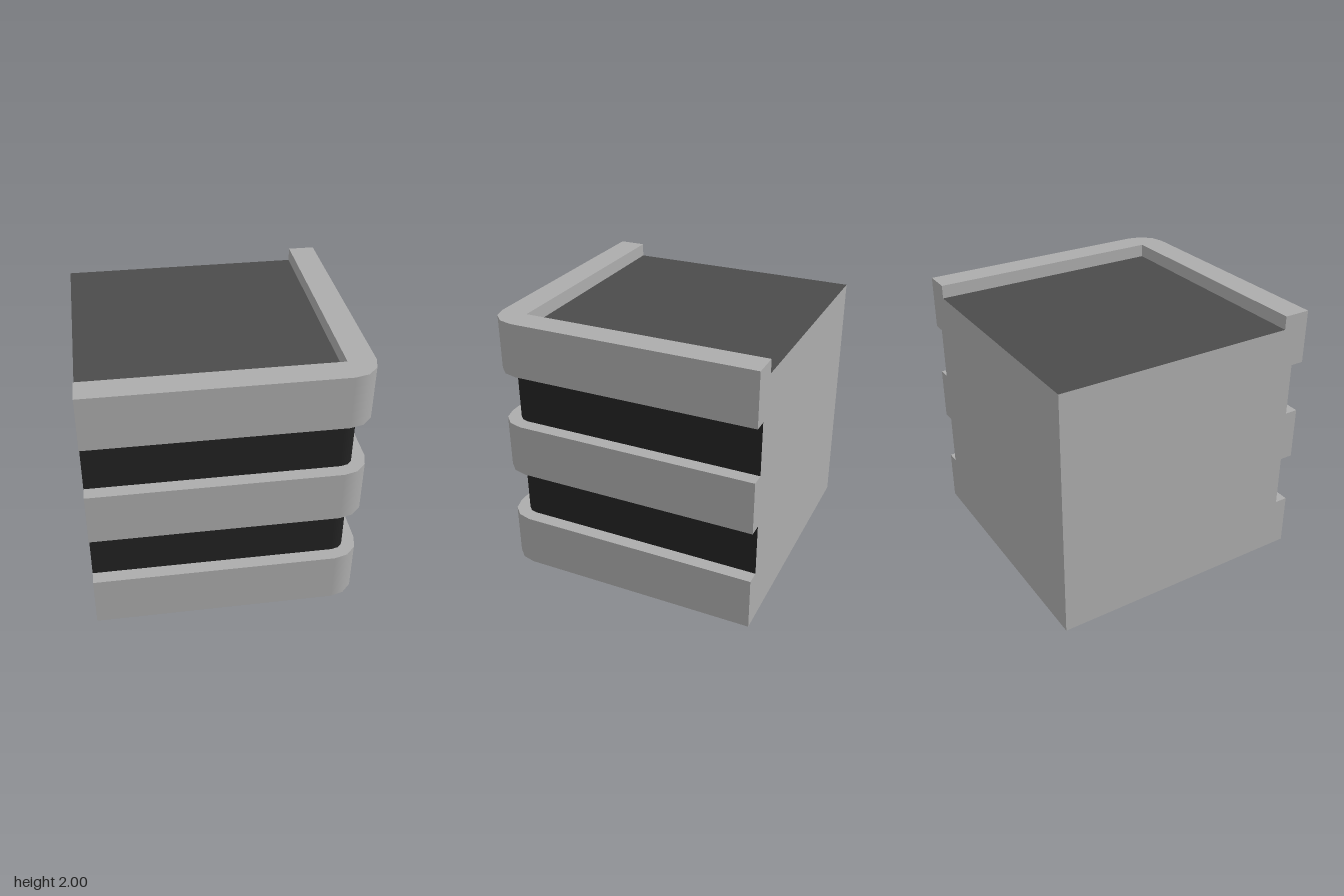
import * as THREE from 'three';

const C = 0.8; // centre of the rounded corner, in x and z

// Floor outline with one rounded corner at +x +z (shape y is -z)
function outline(r) {
  const s = new THREE.Shape();
  s.moveTo(-1, 1);
  s.lineTo(-1, -C - r);
  for (let i = 0; i <= 3; i++) {
    const a = -Math.PI / 2 + (i * Math.PI) / 6;
    s.lineTo(C + r * Math.cos(a), -C + r * Math.sin(a));
  }
  s.lineTo(C + r, 1);
  s.closePath();
  return s;
}

// Ring of the parapet: rounded outside, square inside
function parapetShape(r) {
  const s = outline(r);
  const pts = s.getPoints().filter((p) => !(p.x === -1 && p.y === 1));
  return new THREE.Shape([...pts, new THREE.Vector2(C, 1), new THREE.Vector2(C, -C), new THREE.Vector2(-1, -C)]);
}

// Upright prism with smooth normals around the rounded corner
function prism(shape, y0, y1) {
  const g = new THREE.ExtrudeGeometry(shape, { depth: y1 - y0, bevelEnabled: false });
  g.rotateX(-Math.PI / 2).translate(0, y0, 0);
  const p = g.attributes.position, n = g.attributes.normal;
  for (let i = 0; i < p.count; i++) {
    if (Math.abs(n.getY(i)) > 0.5 || n.getX(i) < -0.1 || n.getZ(i) < -0.1) continue;
    const v = new THREE.Vector3(Math.max(p.getX(i) - C, 0), 0, Math.max(p.getZ(i) - C, 0)).normalize();
    n.setXYZ(i, v.x, 0, v.z);
  }
  return g;
}

// Give each triangle material 0 or 1 according to its normal
function split(g, rule) {
  const n = g.attributes.normal;
  g.clearGroups();
  for (let i = 0; i < n.count; i += 3) {
    g.addGroup(i, 3, rule(n.getX(i), n.getY(i), n.getZ(i)) ? 1 : 0);
  }
  return g;
}

export function createModel() {
  const group = new THREE.Group();
  const material = (name, color) => {
    const m = new THREE.MeshStandardMaterial({ color });
    m.name = name;
    return m;
  };
  const concrete = material('concrete', 0xacacac);
  const glass = material('darkGlass', 0x222222);
  const roofing = material('roofing', 0x4b4b4b);

  const add = (name, geometry, mat) => {
    const mesh = new THREE.Mesh(geometry, mat);
    mesh.name = name;
    group.add(mesh);
  };

  // Projecting concrete bands
  add('lowerBand', prism(outline(0.2), 0, 0.4), concrete);
  add('middleBand', prism(outline(0.2), 0.8, 1.2), concrete);

  // Top band carries the sunken roof surface
  add('upperBandAndRoof', split(prism(outline(0.2), 1.6, 1.9), (x, y) => y > 0.5), [concrete, roofing]);
  add('parapet', prism(parapetShape(0.2), 1.9, 2), concrete);

  // Recessed window strips: glass on the two facades, plain on the cut sides
  for (const [name, y] of [['lowerWindows', 0.4], ['upperWindows', 1.2]]) {
    const g = prism(outline(0.1), y, y + 0.4);
    add(name, split(g, (x, ny, z) => Math.abs(ny) < 0.5 && x > -0.1 && z > -0.1), [concrete, glass]);
  }
  return group;
}
